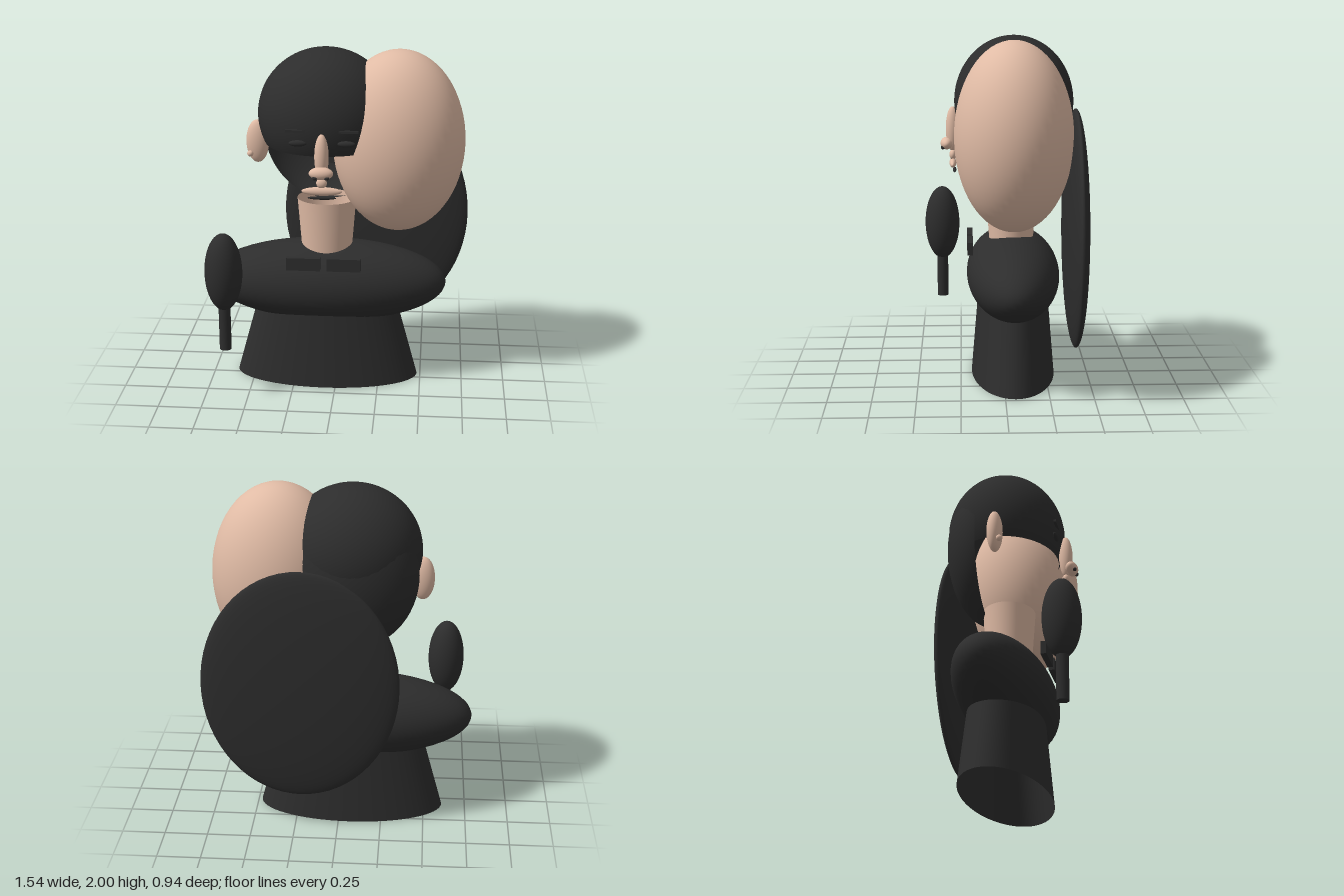
import * as THREE from 'three';

const skin = new THREE.MeshStandardMaterial({ color: 0xe0bba5, side: THREE.DoubleSide });
skin.name = 'skin';
const charcoal = new THREE.MeshStandardMaterial({ color: 0x2d2d2d, side: THREE.DoubleSide });
charcoal.name = 'charcoal';

const CX = -0.065; // centre line of the body

export function createModel() {
  const model = new THREE.Group();
  model.name = 'figure';

  function add(name, geometry, material, x, y, z) {
    const mesh = new THREE.Mesh(geometry, material);
    mesh.name = name;
    mesh.position.set(x, y, z);
    model.add(mesh);
    return mesh;
  }

  // Ellipsoid with centre and radii; extra arguments cut an open part of it
  function ellipsoid(name, material, [x, y, z], [rx, ry, rz], phi0 = 0, phi = Math.PI * 2, theta = Math.PI) {
    const geometry = new THREE.SphereGeometry(1, 48, 32, phi0, phi, 0, theta);
    geometry.scale(rx, ry, rz);
    return add(name, geometry, material, x, y, z);
  }

  // Torso: open cone, oval, narrowing more in width than in depth
  const torso = new THREE.CylinderGeometry(0.7, 1, 0.6, 64, 1, true);
  torso.scale(0.545, 1, 0.245 * 1.14);
  const p = torso.attributes.position;
  for (let i = 0; i < p.count; i++) {
    if (p.getY(i) < 0) p.setZ(i, p.getZ(i) / 1.14);
  }
  torso.computeVertexNormals();
  add('torso', torso, charcoal, CX, 0.3, -0.06);
  ellipsoid('shoulders', charcoal, [CX, 0.605, -0.06], [0.705, 0.245, 0.272]);

  // Neck: open at both ends
  const neck = new THREE.CylinderGeometry(0.172, 0.14, 0.4, 48, 1, true);
  neck.scale(1, 1, 0.88);
  add('neck', neck, skin, CX, 0.92, -0.05);

  // Head shape beside the hair
  ellipsoid('face', skin, [0.35, 1.468, -0.05], [0.38, 0.53, 0.33]);

  // Hair: open cap, rear half shell and the flat long hair behind
  ellipsoid('hairCap', charcoal, [-0.07, 1.62, -0.065], [0.39, 0.38, 0.345], 0, Math.PI * 2, 2.04);
  ellipsoid('hairBack', charcoal, [-0.07, 1.51, -0.17], [0.375, 0.435, 0.24], Math.PI, Math.PI);
  ellipsoid('longHair', charcoal, [0.208, 0.92, -0.405], [0.558, 0.685, 0.067]);

  // Ears and earrings
  for (const [x, side] of [[-0.465, -1], [0.335, 1]]) {
    ellipsoid('ear', skin, [x, 1.452, -0.045], [0.066, 0.127, 0.045]);
    ellipsoid('earring', skin, [x + side * 0.04, 1.385, -0.01], [0.018, 0.018, 0.018]);
  }

  // Nose
  ellipsoid('noseBridge', skin, [CX, 1.46, 0.29], [0.04, 0.13, 0.04]);
  ellipsoid('noseTip', skin, [CX, 1.376, 0.325], [0.068, 0.036, 0.036]);
  ellipsoid('philtrum', skin, [CX, 1.31, 0.29], [0.03, 0.03, 0.02]);

  // Mouth
  ellipsoid('upperLip', skin, [CX, 1.262, 0.29], [0.113, 0.025, 0.02]);
  ellipsoid('lowerLip', charcoal, [CX, 1.22, 0.28], [0.08, 0.01, 0.01]);

  // Mirrored pairs: nostrils, eyes, brows, collar plates
  for (const s of [-1, 1]) {
    ellipsoid('nostril', charcoal, [CX + s * 0.033, 1.355, 0.347], [0.014, 0.011, 0.012]);
    ellipsoid('eye', charcoal, [CX + s * 0.135, 1.527, 0.258], [0.05, 0.018, 0.015]);
    add('brow', new THREE.BoxGeometry(0.11, 0.014, 0.015), charcoal, CX + s * 0.147, 1.598, 0.264);
    add('collarPlate', new THREE.BoxGeometry(0.195, 0.075, 0.033), charcoal, CX + s * 0.117, 0.79, 0.193);
  }

  // Hand mirror: oval head on a short handle
  ellipsoid('handMirror', charcoal, [-0.618, 0.792, 0.363], [0.107, 0.23, 0.107]);
  add('mirrorHandle', new THREE.CylinderGeometry(0.034, 0.034, 0.3, 32), charcoal, -0.618, 0.47, 0.363);

  return model;
}
